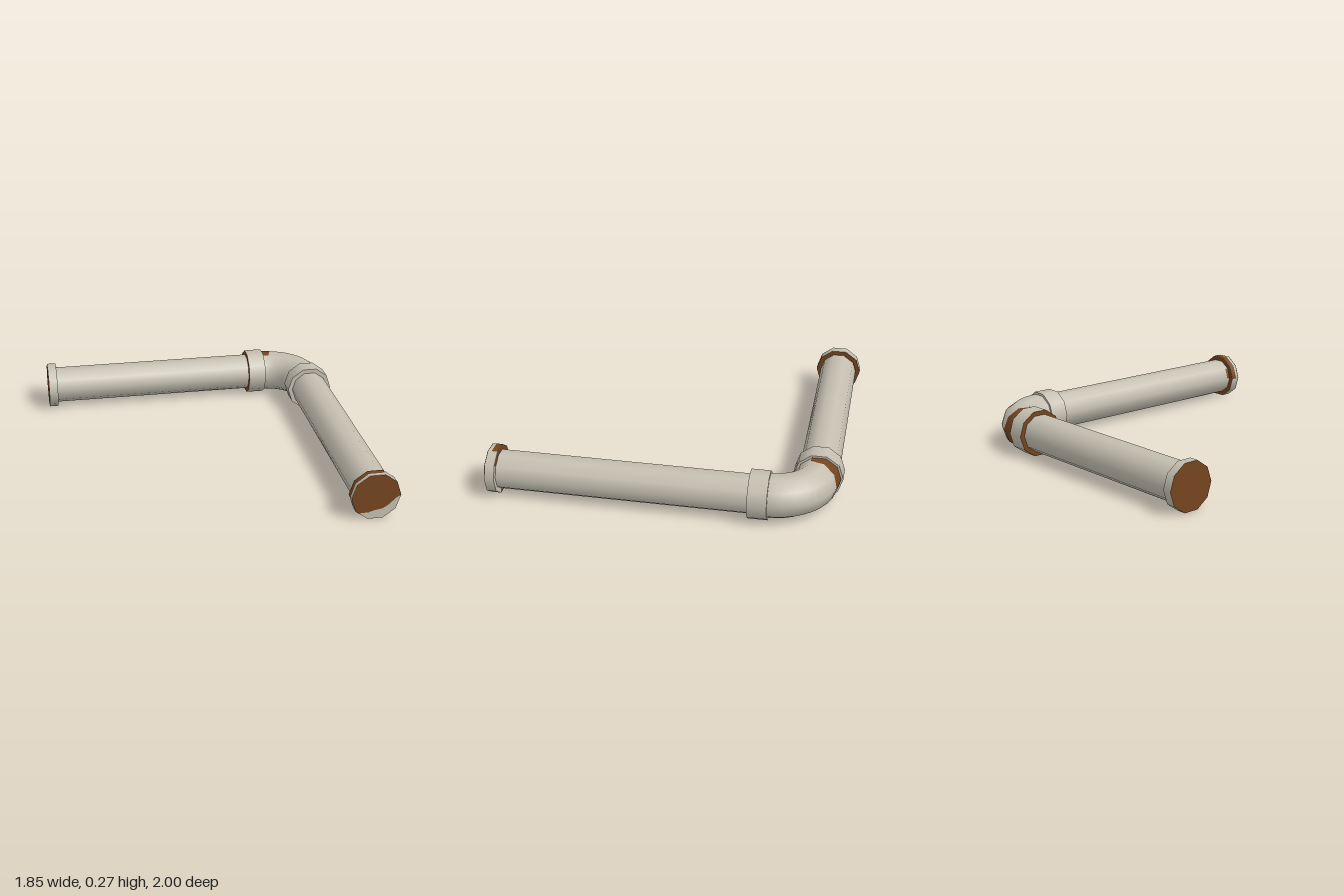
import * as THREE from 'three';

const SIDES = 10, STEP = Math.PI / 5;
const PIPE_R = 0.115, ELBOW_R = 0.128, COLLAR_R = 0.143, BEND_R = 0.25;
const Y = 0.136, BEND_X = 0.53, BEND_Z = -0.607;

export function createModel() {
  const paint = new THREE.MeshStandardMaterial({ color: 0xc4bfb0, side: THREE.DoubleSide });
  paint.name = 'pale paint';
  const rust = new THREE.MeshStandardMaterial({ color: 0x74451f, side: THREE.DoubleSide });
  rust.name = 'rust';

  const model = new THREE.Group();
  model.name = 'pipeCorner';

  const add = (parent, name, geometry, material) => {
    const mesh = new THREE.Mesh(geometry, material);
    mesh.name = name;
    parent.add(mesh);
    return mesh;
  };

  // Ten-sided section of a leg from y0 to y1
  const section = (parent, name, r, y0, y1, material) => {
    const g = new THREE.CylinderGeometry(r, r, y1 - y0, SIDES);
    add(parent, name, g, material).position.y = (y0 + y1) / 2;
  };

  // Thin rust skin over whole facets
  const skin = (parent, name, r, y0, y1, firstFacet, facets) => {
    const g = new THREE.CylinderGeometry(r + 0.0015, r + 0.0015, y1 - y0, facets, 1, true,
      firstFacet * STEP, facets * STEP);
    add(parent, name, g, rust).position.y = (y0 + y1) / 2;
  };

  // Straight leg: collar at the elbow, pipe, end flange; local y points outwards
  const leg = (name, length, collarFaces, flangeFaces) => {
    const g = new THREE.Group();
    g.name = name;
    section(g, 'pipe', PIPE_R, 0, length - 0.02, paint);
    section(g, 'collar', COLLAR_R, -0.003, 0.108, collarFaces);
    section(g, 'endFlange', COLLAR_R, length - 0.056, length, flangeFaces);
    model.add(g);
    return g;
  };

  const sideLen = BEND_X + 0.925;
  const sideLeg = leg('sideLeg', sideLen, [paint, rust, paint], [paint, rust, rust]);
  sideLeg.position.set(BEND_X, Y, BEND_Z - BEND_R);
  sideLeg.rotation.z = Math.PI / 2;
  skin(sideLeg, 'pipeRust', PIPE_R, sideLen - 0.072, sideLen - 0.056, 3, 2);

  const frontLen = 1 - BEND_Z;
  const frontLeg = leg('frontLeg', frontLen, paint, paint);
  frontLeg.position.set(BEND_X + BEND_R, Y, BEND_Z);
  frontLeg.rotation.set(0, Math.PI / 2, Math.PI / 2);
  skin(frontLeg, 'pipeRust', PIPE_R, frontLen - 0.08, frontLen - 0.056, 4, 1);
  skin(frontLeg, 'flangeRust', COLLAR_R, frontLen - 0.056, frontLen - 0.022, 2, 3);

  // Rust on the back of the front flange
  const ring = new THREE.RingGeometry(PIPE_R, COLLAR_R, 7, 1, STEP, 7 * STEP);
  add(model, 'flangeBackRust', ring, rust).position.set(BEND_X + BEND_R, Y, 0.9425);

  // Rust on the front end, leaving a pale lower corner
  const outline = [];
  for (let i = 0; i <= 6; i++) {
    outline.push(new THREE.Vector2(COLLAR_R * Math.cos(i * STEP), COLLAR_R * Math.sin(i * STEP)));
  }
  for (const [x, y] of [[-0.1, -0.096], [-0.04, -0.094], [-0.01, -0.084], [0.04, -0.076], [0.08, -0.05], [0.11, -0.018]]) {
    outline.push(new THREE.Vector2(x, y));
  }
  add(model, 'frontEndRust', new THREE.ShapeGeometry(new THREE.Shape(outline)), rust)
    .position.set(BEND_X + BEND_R, Y, 1.0015);

  // Quarter-turn elbow
  const elbow = new THREE.TorusGeometry(BEND_R, ELBOW_R, SIDES, 10, Math.PI / 2);
  elbow.rotateX(-Math.PI / 2);
  add(model, 'elbow', elbow, paint).position.set(BEND_X, Y, BEND_Z);

  // Rust wrapped round the outside of the elbow, beside the side collar
  const patch = new THREE.PlaneGeometry(1, 1, 6, 2);
  const pos = patch.attributes.position;
  for (let i = 0; i < pos.count; i++) {
    const s = pos.getX(i) * 2, t = pos.getY(i) + 0.5;
    const v = s * 3 * STEP, a = Math.PI / 2 - t * (0.29 - 0.1 * Math.abs(s));
    const r = BEND_R + (ELBOW_R + 0.002) * Math.cos(v);
    pos.setXYZ(i, BEND_X + r * Math.cos(a), Y + (ELBOW_R + 0.002) * Math.sin(v), BEND_Z - r * Math.sin(a));
  }
  patch.computeVertexNormals();
  add(model, 'elbowRust', patch, rust);

  return model;
}
